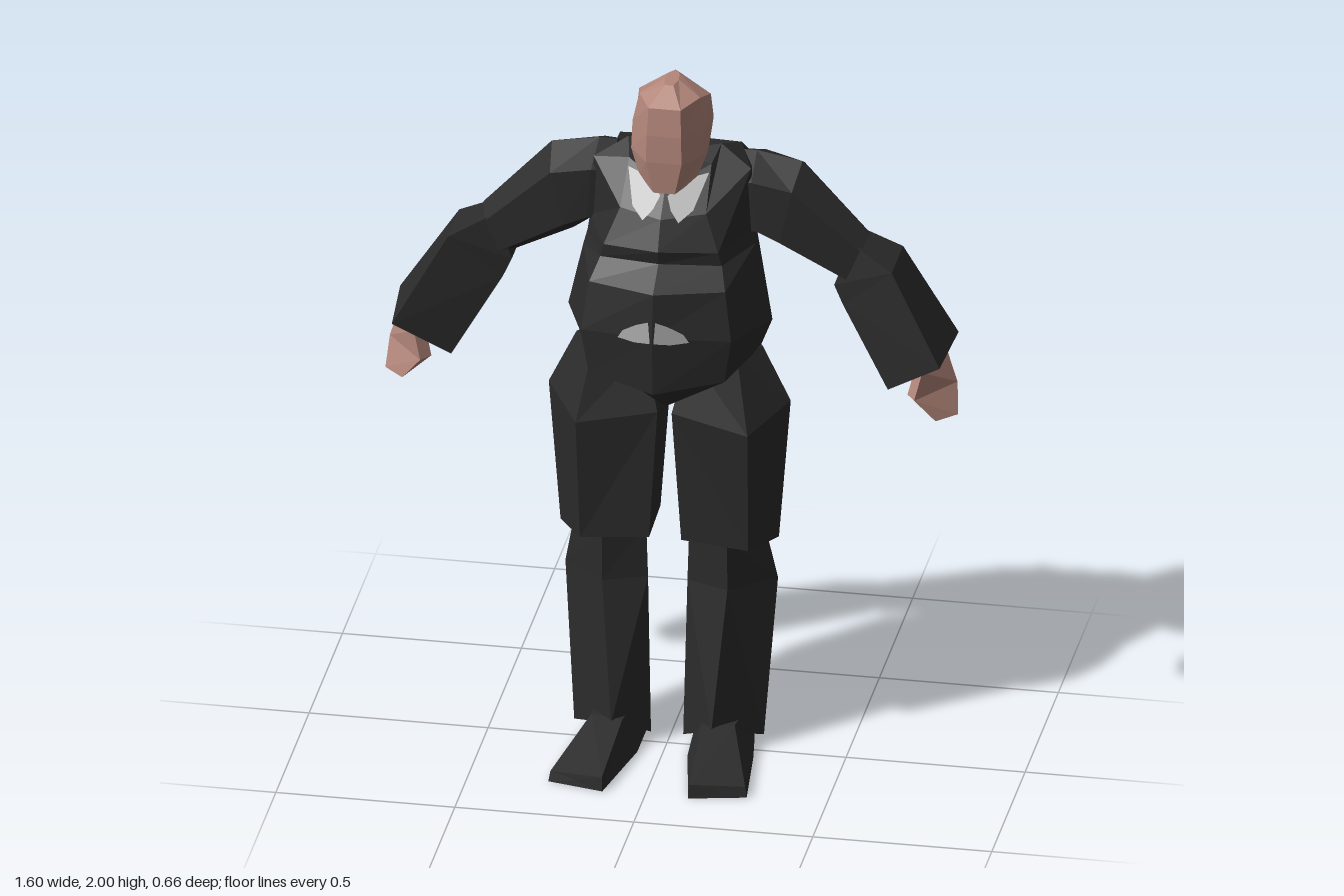
import * as THREE from 'three';

function makeMaterial(name, color) {
  const material = new THREE.MeshStandardMaterial({ color: color });
  material.name = name;
  return material;
}

// Faceted mesh from a list of triangles, each of three [x, y, z] corners
function facets(name, triangles, material) {
  const geometry = new THREE.BufferGeometry();
  const position = new THREE.Float32BufferAttribute(triangles.flat(2), 3);
  geometry.setAttribute('position', position);
  geometry.computeVertexNormals();
  const mesh = new THREE.Mesh(geometry, material);
  mesh.name = name;
  return mesh;
}

// Triangle fan closing a ring around its centre
function fan(ring) {
  const centre = [0, 0, 0];
  for (const p of ring) {
    for (let k = 0; k < 3; k++) centre[k] += p[k] / ring.length;
  }
  return ring.map((p, i) => [centre, p, ring[(i + 1) % ring.length]]);
}

// Six times the signed volume between a triangle and the origin
function signedVolume(triangle) {
  const a = new THREE.Vector3().fromArray(triangle[0]);
  const b = new THREE.Vector3().fromArray(triangle[1]);
  const c = new THREE.Vector3().fromArray(triangle[2]);
  return a.dot(b.cross(c));
}

// Closed skin over a row of rings with equal point counts, turned outward
function loft(name, rings, material) {
  const n = rings[0].length;
  const triangles = fan([...rings[0]].reverse());
  for (let r = 0; r < rings.length - 1; r++) {
    const p = rings[r];
    const q = rings[r + 1];
    for (let i = 0; i < n; i++) {
      const j = (i + 1) % n;
      triangles.push([p[i], p[j], q[j]]);
      triangles.push([p[i], q[j], q[i]]);
    }
  }
  triangles.push(...fan(rings[rings.length - 1]));
  let volume = 0;
  for (const t of triangles) volume += signedVolume(t);
  if (volume < 0) {
    for (const t of triangles) t.reverse();
  }
  return facets(name, triangles, material);
}

// Full ring from its +x half, listed front to back
function mirrored(half) {
  const other = half.filter((p) => p[0] > 0).reverse();
  const flipped = other.map((p) => [-p[0], p[1], p[2]]);
  return half.concat(flipped);
}

// Hexagonal limb section between an upper/outer and a lower/inner point
function section(a, b, front, back) {
  const mid = (front + back) / 2;
  const steps = [[0, mid], [0.2, front], [0.8, front], [1, mid], [0.8, back], [0.2, back]];
  return steps.map((step) => {
    const t = step[0];
    return [a[0] + (b[0] - a[0]) * t, a[1] + (b[1] - a[1]) * t, step[1]];
  });
}

// Flat patch laid on a sloping surface z = depth(x, y), on side s
function patch(name, outline, depth, material, s) {
  const points = outline.map((p) => [p[0] * s, p[1], depth(p[0], p[1])]);
  if (s < 0) points.reverse();
  const triangles = [];
  for (let i = 1; i < points.length - 1; i++) {
    triangles.push([points[0], points[i], points[i + 1]]);
  }
  return facets(name, triangles, material);
}

export function createModel() {
  const model = new THREE.Group();
  model.name = 'manInSuit';
  const suit = makeMaterial('suitBlack', 0x2b2b2b);
  const skin = makeMaterial('skin', 0xb4877b);
  const shirt = makeMaterial('shirtGrey', 0xb0b0b0);
  shirt.side = THREE.DoubleSide;

  // Jacket with a heavy belly under an overhanging chest, bottom to collar
  const jacketHalves = [
    [[0, 1.045, 0.03], [0.08, 1.09, 0.02], [0.2, 1.13, -0.1], [0.1, 1.08, -0.27], [0, 1.06, -0.29]],
    [[0, 1.17, 0.215], [0.19, 1.2, 0.16], [0.25, 1.21, -0.05], [0.18, 1.18, -0.28], [0, 1.18, -0.33]],
    [[0, 1.35, 0.23], [0.21, 1.33, 0.17], [0.285, 1.3, -0.05], [0.2, 1.36, -0.25], [0, 1.38, -0.275]],
    [[0, 1.475, 0.215], [0.19, 1.47, 0.15], [0.245, 1.48, -0.06], [0.2, 1.5, -0.25], [0, 1.5, -0.28]],
    [[0, 1.53, 0.13], [0.17, 1.52, 0.09], [0.235, 1.52, -0.07], [0.2, 1.55, -0.26], [0, 1.56, -0.29]],
    [[0, 1.57, 0.14], [0.16, 1.56, 0.095], [0.23, 1.56, -0.08], [0.2, 1.61, -0.27], [0, 1.62, -0.295]],
    [[0, 1.65, 0.1], [0.12, 1.66, 0.06], [0.22, 1.74, -0.08], [0.2, 1.68, -0.275], [0, 1.67, -0.3]],
    [[0, 1.71, 0.033], [0.115, 1.76, -0.05], [0.13, 1.79, -0.12], [0.17, 1.755, -0.21], [0, 1.745, -0.24]],
  ];
  model.add(loft('jacket', jacketHalves.map((half) => mirrored(half)), suit));

  // Bald angular head, chin to crown
  const headHalves = [
    [[0.03, 1.705, 0.045], [0.08, 1.73, -0.01], [0.08, 1.74, -0.09], [0, 1.74, -0.13]],
    [[0.05, 1.8, 0.052], [0.106, 1.8, -0.03], [0.1, 1.8, -0.1], [0, 1.79, -0.135]],
    [[0.048, 1.88, 0.05], [0.104, 1.88, -0.04], [0.108, 1.87, -0.12], [0, 1.86, -0.2]],
    [[0.045, 1.96, 0.04], [0.085, 1.965, -0.04], [0.1, 1.94, -0.12], [0, 1.95, -0.207]],
    [[0.012, 2, -0.03], [0.02, 2, -0.07], [0.015, 2, -0.11], [0, 2, -0.13]],
  ];
  model.add(loft('head', headHalves.map((half) => mirrored(half)), skin));

  for (const s of [1, -1]) {
    const side = s > 0 ? 'left' : 'right';
    const add = (part, rings, material) => {
      const placed = rings.map((ring) => ring.map((p) => [p[0] * s, p[1], p[2]]));
      model.add(loft(side + part, placed, material));
    };

    // Arm
    add('UpperArm', [
      section([0.17, 1.75], [0.2, 1.5], -0.07, -0.28),
      section([0.22, 1.755], [0.24, 1.51], -0.06, -0.275),
      section([0.35, 1.74], [0.29, 1.48], -0.055, -0.25),
      section([0.54, 1.54], [0.47, 1.395], -0.08, -0.21),
    ], suit);
    add('Forearm', [
      [[0.5, 1.53, -0.09], [0.5, 1.53, -0.2], [0.45, 1.4, -0.2], [0.45, 1.4, -0.09]],
      [[0.62, 1.475, -0.04], [0.62, 1.475, -0.212], [0.475, 1.345, -0.2], [0.475, 1.345, -0.085]],
      [[0.765, 1.225, 0.022], [0.78, 1.24, -0.185], [0.62, 1.13, -0.18], [0.61, 1.12, -0.035]],
    ], suit);
    add('Hand', [
      [[0.765, 1.22, -0.1], [0.745, 1.22, -0.14], [0.685, 1.19, -0.05], [0.71, 1.19, -0.015]],
      [[0.793, 1.13, -0.1], [0.77, 1.13, -0.14], [0.665, 1.11, -0.035], [0.69, 1.11, 0]],
      [[0.8, 1.045, -0.07], [0.785, 1.045, -0.11], [0.735, 1.04, -0.06], [0.745, 1.04, -0.025]],
    ], skin);

    // Leg, its sections turned so that an edge runs down the back
    add('Thigh', [
      [[0.06, 1.2, 0], [0.2, 1.22, 0.03], [0.26, 1.22, -0.04], [0.17, 1.18, -0.24], [0.04, 1.16, -0.18]],
      [[0.02, 1.03, 0.04], [0.24, 1, 0.085], [0.338, 1.06, -0.04], [0.17, 1, -0.295], [0.025, 1, -0.18]],
      [[0.045, 0.64, 0.03], [0.235, 0.63, 0.045], [0.305, 0.64, -0.04], [0.16, 0.63, -0.28], [0.05, 0.64, -0.17]],
    ], suit);
    add('Shin', [
      [[0.06, 0.66, -0.01], [0.175, 0.65, 0.04], [0.27, 0.64, -0.05], [0.175, 0.64, -0.21]],
      [[0.055, 0.5, -0.01], [0.175, 0.5, 0.036], [0.297, 0.5, -0.07], [0.185, 0.46, -0.25]],
      [[0.045, 0.03, 0], [0.14, 0.09, 0.088], [0.265, 0.035, -0.03], [0.14, 0.015, -0.205]],
    ], suit);
    add('Shoe', [
      [[0.07, 0, -0.1], [0.23, 0, -0.08], [0.22, 0.1, -0.08], [0.08, 0.1, -0.1]],
      [[0.07, 0, 0.07], [0.25, 0, 0.05], [0.2, 0.1, 0.06], [0.11, 0.1, 0.08]],
      [[0.12, 0, 0.33], [0.277, 0, 0.295], [0.272, 0.03, 0.29], [0.122, 0.04, 0.325]],
    ], suit);

    // Shirt showing at the collar and between the jacket fronts
    const collar = [[0.01, 1.7], [0.025, 1.67], [0.05, 1.645], [0.085, 1.67], [0.113, 1.745], [0.06, 1.735]];
    const collarDepth = (x, y) => 0.107 - 0.241 * x - 1.112 * (y - 1.65);
    model.add(patch(side + 'Collar', collar, collarDepth, shirt, s));

    const shirtFront = [[0.005, 1.335], [0.05, 1.33], [0.1, 1.335], [0.085, 1.36], [0.045, 1.385], [0.01, 1.4]];
    const bellyDepth = (x) => 0.236 - 0.286 * x;
    model.add(patch(side + 'ShirtFront', shirtFront, bellyDepth, shirt, s));
  }
  return model;
}
